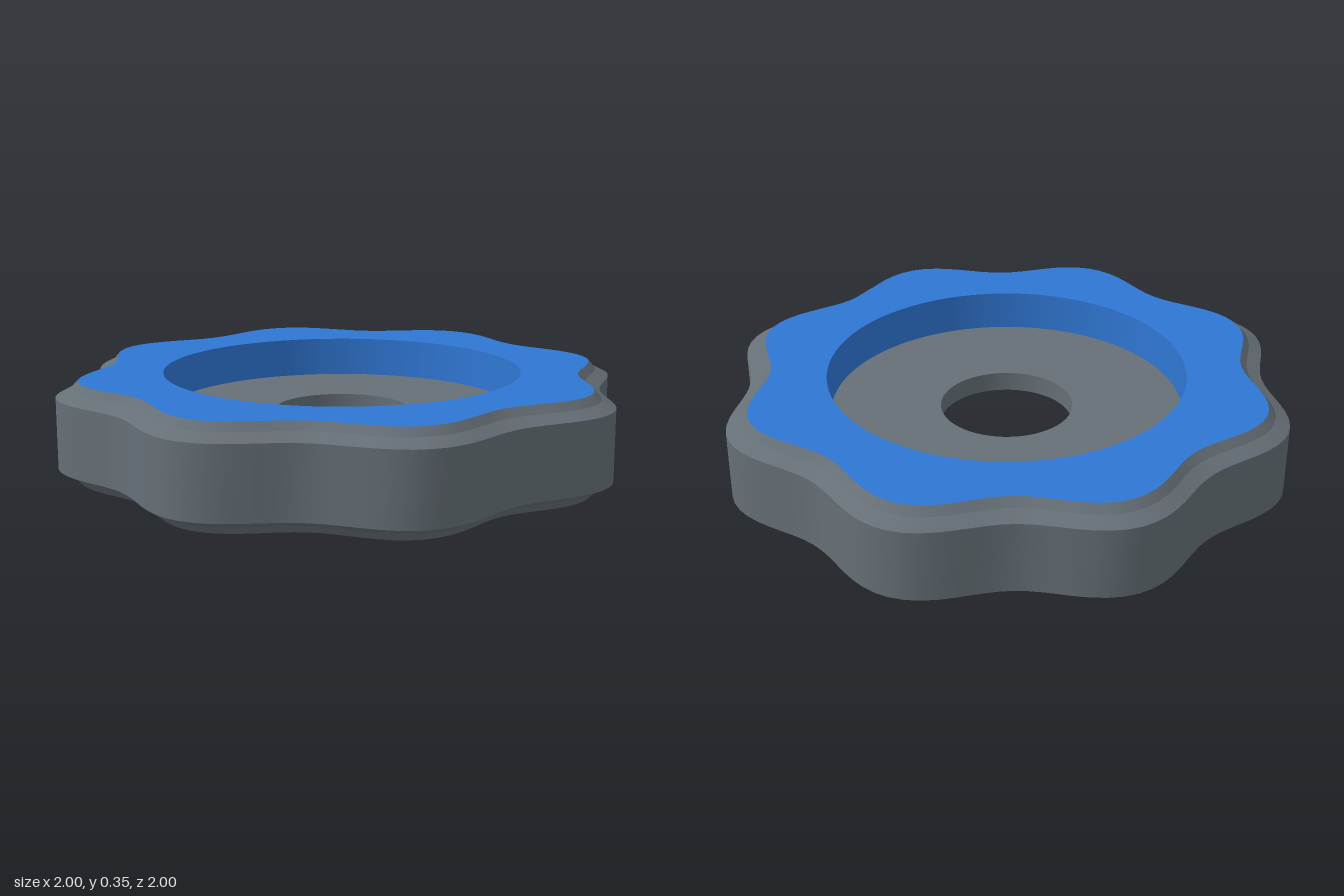
import * as THREE from 'three';
import { mergeGeometries } from 'three/addons/utils/BufferGeometryUtils.js';

const SEGMENTS = 128;
const LOBES = 8;

// Radius rules: a plain circle, or a wavy outline given by its lobe-tip radius
const circle = (r) => () => r;
const lobed = (tip) => (t) => tip - 0.05 + 0.05 * Math.cos(LOBES * t);

// One closed strip between two outlines; strips share no vertices, so edges stay sharp
function band([radiusA, yA], [radiusB, yB]) {
  const positions = [], index = [];
  for (let i = 0; i < SEGMENTS; i++) {
    const t = (i / SEGMENTS) * Math.PI * 2;
    const a = radiusA(t), b = radiusB(t);
    positions.push(a * Math.cos(t), yA, a * Math.sin(t));
    positions.push(b * Math.cos(t), yB, b * Math.sin(t));
    const p = 2 * i, q = 2 * ((i + 1) % SEGMENTS);
    index.push(p, p + 1, q, q, p + 1, q + 1);
  }
  const geometry = new THREE.BufferGeometry();
  geometry.setAttribute('position', new THREE.Float32BufferAttribute(positions, 3));
  geometry.setIndex(index);
  geometry.computeVertexNormals();
  return geometry;
}

// Strips along a profile: outside upwards, top inwards, inside downwards, bottom outwards
function bands(profile) {
  return mergeGeometries(profile.slice(1).map((point, i) => band(profile[i], point)));
}

export function createModel() {
  const grey = new THREE.MeshStandardMaterial({ color: 0x656f76 });
  const blue = new THREE.MeshStandardMaterial({ color: 0x2f76d2 });
  const model = new THREE.Group();
  model.name = 'lobedRingKnob';
  const add = (name, profile, material) => {
    const mesh = new THREE.Mesh(bands(profile), material);
    mesh.name = name;
    model.add(mesh);
  };

  const height = 0.35;
  const bore = circle(0.627);

  // Underside, wavy side wall and hollowed chamfers
  add('outerRim', [
    [bore, 0],
    [lobed(0.925), 0],
    [lobed(0.95), 0.027],
    [lobed(1), 0.052],
    [lobed(1), height - 0.052],
    [lobed(0.95), height - 0.027],
    [lobed(0.925), height],
  ], grey);

  // Coloured top face and bore wall
  add('topFaceAndBore', [
    [lobed(0.925), height],
    [bore, height],
    [bore, 0],
  ], blue);

  // Thin disc with a centre hole, set halfway up the bore with a hairline gap
  const discEdge = circle(0.62), hole = circle(0.233);
  const low = 0.14, high = 0.21;
  add('centreDisc', [
    [hole, low],
    [discEdge, low],
    [discEdge, high],
    [hole, high],
    [hole, low],
  ], grey);

  return model;
}
